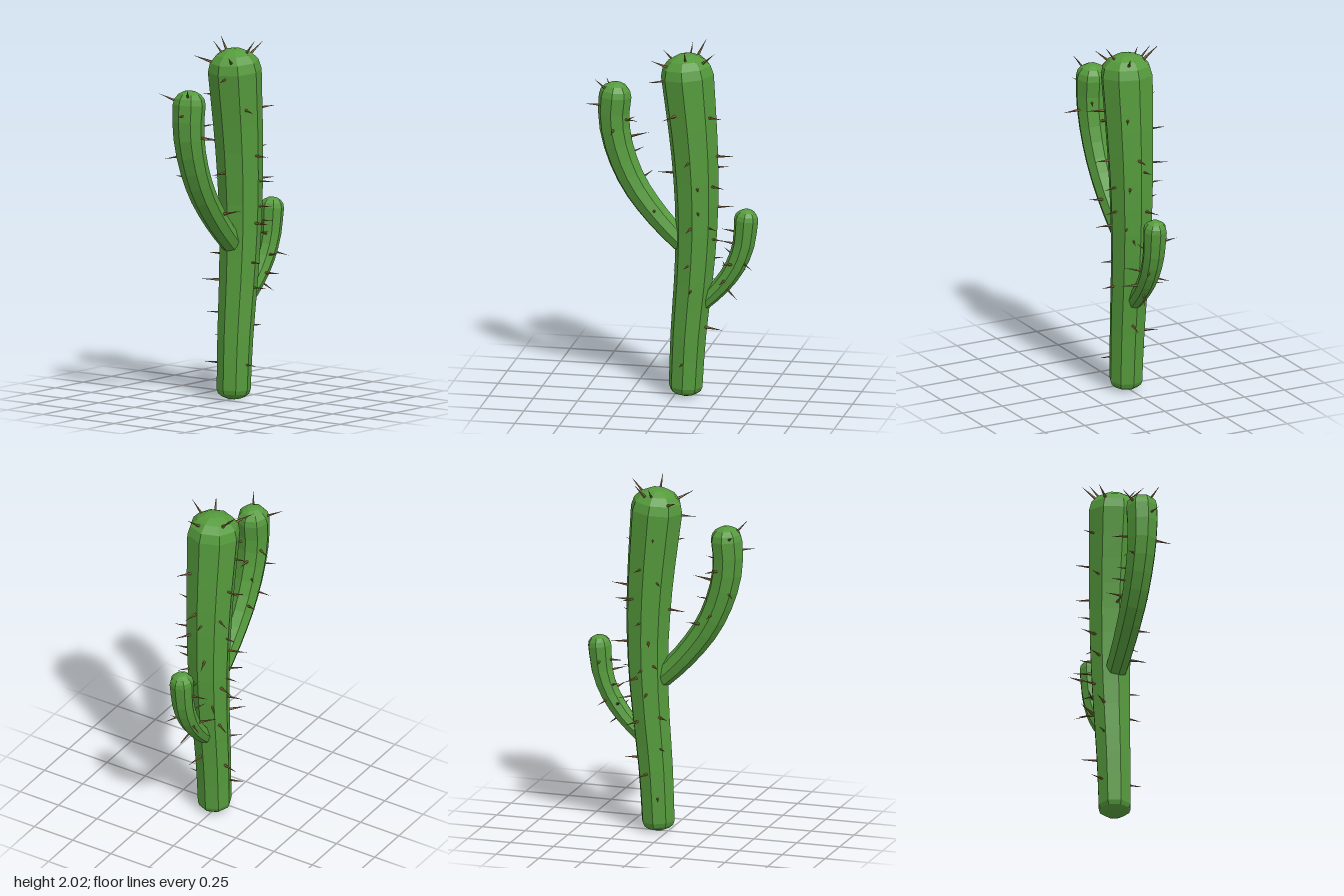
import * as THREE from 'three';

const SIDES = 8, MID_Z = 0.008;
const green = new THREE.MeshStandardMaterial({ color: 0x559a3c, flatShading: true });
const brown = new THREE.MeshStandardMaterial({ color: 0x8f6c3c, flatShading: true });

// A limb bends in the xy plane; its radius grows from r0 to r1 along the path.
class Limb {
  constructor(points, r0, r1, power = 1) {
    this.curve = new THREE.CatmullRomCurve3(points.map(([x, y]) => new THREE.Vector3(x, y, MID_Z)));
    this.radius = u => r0 + (r1 - r0) * Math.pow(u, power);
  }
  frame(u) {
    const p = this.curve.getPointAt(u), t = this.curve.getTangentAt(u);
    return { p, t, n: new THREE.Vector3(t.y, -t.x, 0), r: this.radius(u) };
  }
  // Parameter along the limb at a given height
  atHeight(y) {
    let a = 0, b = 1;
    for (let i = 0; i < 24; i++) {
      const m = (a + b) / 2;
      if (this.curve.getPointAt(m).y < y) a = m; else b = m;
    }
    return (a + b) / 2;
  }
  // Faceted skin with a rounded cap at each end
  geometry(steps, capStart, capEnd) {
    const rings = [], angles = [0, 25, 48, 70, 90].map(THREE.MathUtils.degToRad);
    const cap = (u, height, sign) => angles.map(f => ({ u, off: sign * height * Math.sin(f), k: Math.cos(f) }));
    rings.push(...cap(0, capStart, -1).reverse());
    for (let i = 1; i < steps; i++) rings.push({ u: i / steps, off: 0, k: 1 });
    rings.push(...cap(1, capEnd, 1));

    const pos = [], index = [];
    rings.forEach(({ u, off, k }, i) => {
      const { p, t, n, r } = this.frame(u);
      for (let j = 0; j < SIDES; j++) {
        const a = j / SIDES * Math.PI * 2;
        const v = p.clone().addScaledVector(t, off).addScaledVector(n, r * k * Math.cos(a));
        pos.push(v.x, v.y, v.z + r * k * Math.sin(a));
        if (i + 1 < rings.length) {
          const q = i * SIDES, j2 = (j + 1) % SIDES;
          index.push(q + j, q + SIDES + j, q + j2, q + j2, q + SIDES + j, q + SIDES + j2);
        }
      }
    });
    const g = new THREE.BufferGeometry();
    g.setAttribute('position', new THREE.Float32BufferAttribute(pos, 3));
    g.setIndex(index);
    const flat = g.toNonIndexed();
    flat.computeVertexNormals();
    return flat;
  }
}

const spineGeo = new THREE.ConeGeometry(0.008, 0.1, 5).translate(0, 0.04, 0);

// Spines: [height, degrees around the limb (0 = +x, 90 = +z), upward tilt]
function addSpines(group, limb, list) {
  list.forEach(([y, deg, tilt = 0], i) => {
    const { p, t, n, r } = limb.frame(limb.atHeight(y));
    const a = THREE.MathUtils.degToRad(deg), e = THREE.MathUtils.degToRad(tilt);
    const out = n.clone().multiplyScalar(Math.cos(a));
    out.z += Math.sin(a);
    const dir = out.multiplyScalar(Math.cos(e)).addScaledVector(t, Math.sin(e));
    const s = new THREE.Mesh(spineGeo, brown);
    s.name = 'spine';
    s.position.copy(p).addScaledVector(dir, r * 0.95);
    s.quaternion.setFromUnitVectors(new THREE.Vector3(0, 1, 0), dir);
    s.scale.setScalar(0.8 + 0.12 * (i % 4));
    group.add(s);
  });
}

function makeLimb(name, limb, steps, caps, spines) {
  const group = new THREE.Group();
  group.name = name;
  const skin = new THREE.Mesh(limb.geometry(steps, ...caps), green);
  skin.name = name + 'Skin';
  group.add(skin);
  addSpines(group, limb, spines);
  return group;
}

export function createModel() {
  const model = new THREE.Group();
  model.name = 'cactus';

  // Trunk, bowed slightly towards +x
  const trunk = new Limb([[0.06, 0.055], [0.075, 0.35], [0.11, 0.75], [0.122, 1.05], [0.11, 1.4], [0.07, 1.84]], 0.095, 0.15, 1.3);
  model.add(makeLimb('trunk', trunk, 12, [0.055, 0.125], [
    [0.2, 95], [0.2, 250], [0.34, 285], [0.41, 10], [0.48, 230], [0.63, 85], [0.64, 300], [0.66, 225],
    [0.77, 100], [0.78, 320], [0.8, 260], [0.89, 290], [0.92, 20], [0.94, 270], [0.96, 235], [0.99, 95],
    [0.99, 40], [1.08, 75], [1.08, 340], [1.1, 250], [1.21, 275], [1.22, 75], [1.22, 30], [1.28, 185],
    [1.31, 350], [1.34, 300], [1.37, 95], [1.38, 5], [1.45, 235], [1.52, 280], [1.61, 30], [1.64, 120],
    [1.7, 255], [1.82, 165], [1.84, 150, 30], [1.84, 300, 42], [1.84, 275, 45], [1.84, 80, 52],
    [1.84, 20, 35], [1.84, 225, 25],
  ]));

  // Tall arm on the model's right
  const tallArm = new Limb([[0.04, 0.88], [-0.08, 1.0], [-0.23, 1.2], [-0.315, 1.4], [-0.346, 1.57], [-0.338, 1.7]], 0.062, 0.092);
  model.add(makeLimb('tallArm', tallArm, 10, [0.02, 0.08], [
    [1.64, 165], [1.57, 25], [1.53, 300], [1.52, 85], [1.35, 320], [1.28, 270], [1.2, 305], [1.05, 70],
    [1.42, 230], [1.69, 150, 40], [1.69, 240, 20], [1.45, 350],
  ]));

  // Short arm on the model's left
  const shortArm = new Limb([[0.16, 0.54], [0.25, 0.63], [0.335, 0.75], [0.385, 0.88], [0.402, 1.03]], 0.045, 0.068);
  model.add(makeLimb('shortArm', shortArm, 8, [0.015, 0.06], [
    [0.8, 40], [0.65, 20], [0.77, 115], [0.7, 240], [0.8, 215], [0.88, 165], [0.95, 260], [0.68, 95],
    [0.74, 300], [0.95, 190],
  ]));

  return model;
}
